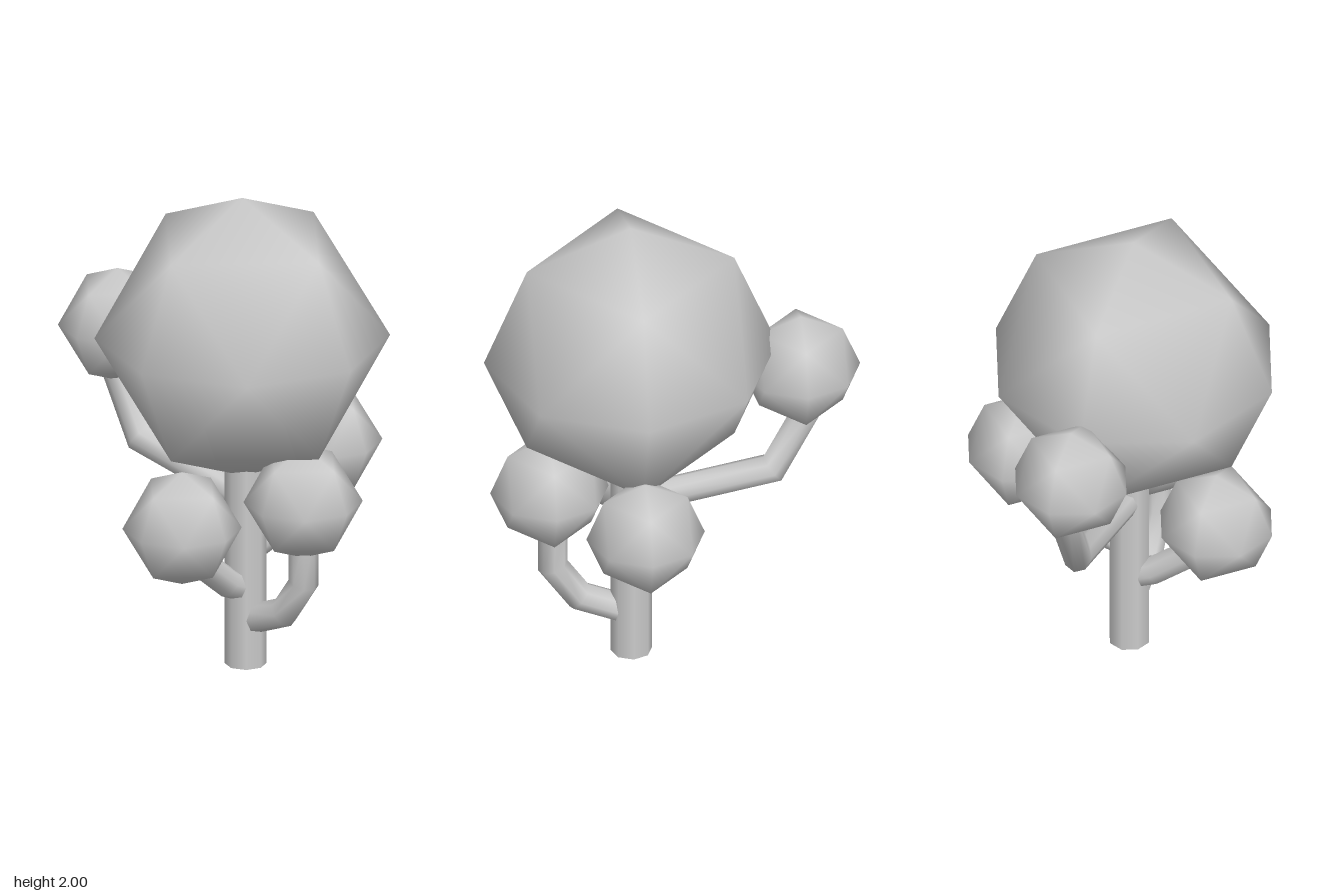
import * as THREE from 'three';

const material = new THREE.MeshStandardMaterial({ color: 0xcccccc });

// Bent round limb through points, with a mitred ring at every bend
function limbGeometry(points, radius, sides = 8) {
  const pos = [], index = [];
  const last = points.length - 1;
  const dir = (i) => points[i + 1].clone().sub(points[i]).normalize();
  const binormal = dir(0).cross(dir(1)).normalize();
  points.forEach((p, i) => {
    const before = dir(Math.max(i - 1, 0));
    const t = before.clone().add(dir(Math.min(i, last - 1))).normalize();
    const n = binormal.clone().cross(t);
    const stretch = 1 / t.dot(before);
    for (let j = 0; j < sides; j++) {
      const a = (j / sides) * Math.PI * 2;
      const v = p.clone()
        .addScaledVector(n, Math.cos(a) * radius * stretch)
        .addScaledVector(binormal, Math.sin(a) * radius);
      pos.push(v.x, v.y, v.z);
      if (i < last) {
        const k = i * sides + j, m = i * sides + (j + 1) % sides;
        index.push(k, m, m + sides, k, m + sides, k + sides);
      }
    }
  });
  const g = new THREE.BufferGeometry();
  g.setAttribute('position', new THREE.Float32BufferAttribute(pos, 3));
  g.setIndex(index);
  g.computeVertexNormals();
  return g;
}

export function createModel() {
  const tree = new THREE.Group();
  tree.name = 'tree';
  const add = (name, geometry, x = 0, y = 0, z = 0) => {
    const mesh = new THREE.Mesh(geometry, material);
    mesh.name = name;
    mesh.position.set(x, y, z);
    tree.add(mesh);
  };
  const TX = 0.165, TZ = 0.04;

  // Trunk, running up into the crown
  add('trunk', new THREE.CylinderGeometry(0.085, 0.085, 1, 8), TX, 0.5, TZ);

  // Main crown and the four smaller leaf balls
  const leaves = [
    ['crown', 0.595, TX, 1.405, 0.06],
    ['rightLeafBall', 0.24, -0.525, 1.283, 0.055],
    ['leftLeafBall', 0.24, 0.495, 0.78, 0.055],
    ['frontLeafBall', 0.24, TX, 0.68, 0.415],
    ['backLeafBall', 0.24, TX, 0.835, -0.415],
  ];
  for (const [name, r, x, y, z] of leaves) add(name, new THREE.OctahedronGeometry(r, 1), x, y, z);

  // Branches: side ones as [x, y], front and back ones as [z, y]
  const side = ([x, y]) => new THREE.Vector3(x, y, TZ);
  const depth = ([z, y]) => new THREE.Vector3(TX, y, z);
  const branches = [
    ['rightBranch', side, [[0.165, 0.71], [-0.41, 0.82], [-0.57, 1.13]]],
    ['leftBranch', side, [[0.18, 0.19], [0.375, 0.27], [0.483, 0.425], [0.483, 0.65]]],
    ['frontBranch', depth, [[0.06, 0.335], [0.15, 0.375], [0.31, 0.505], [0.4, 0.59]]],
    ['backBranch', depth, [[0.04, 0.48], [-0.185, 0.54], [-0.32, 0.645], [-0.4, 0.72]]],
  ];
  for (const [name, place, path] of branches) add(name, limbGeometry(path.map(place), 0.06));

  return tree;
}
